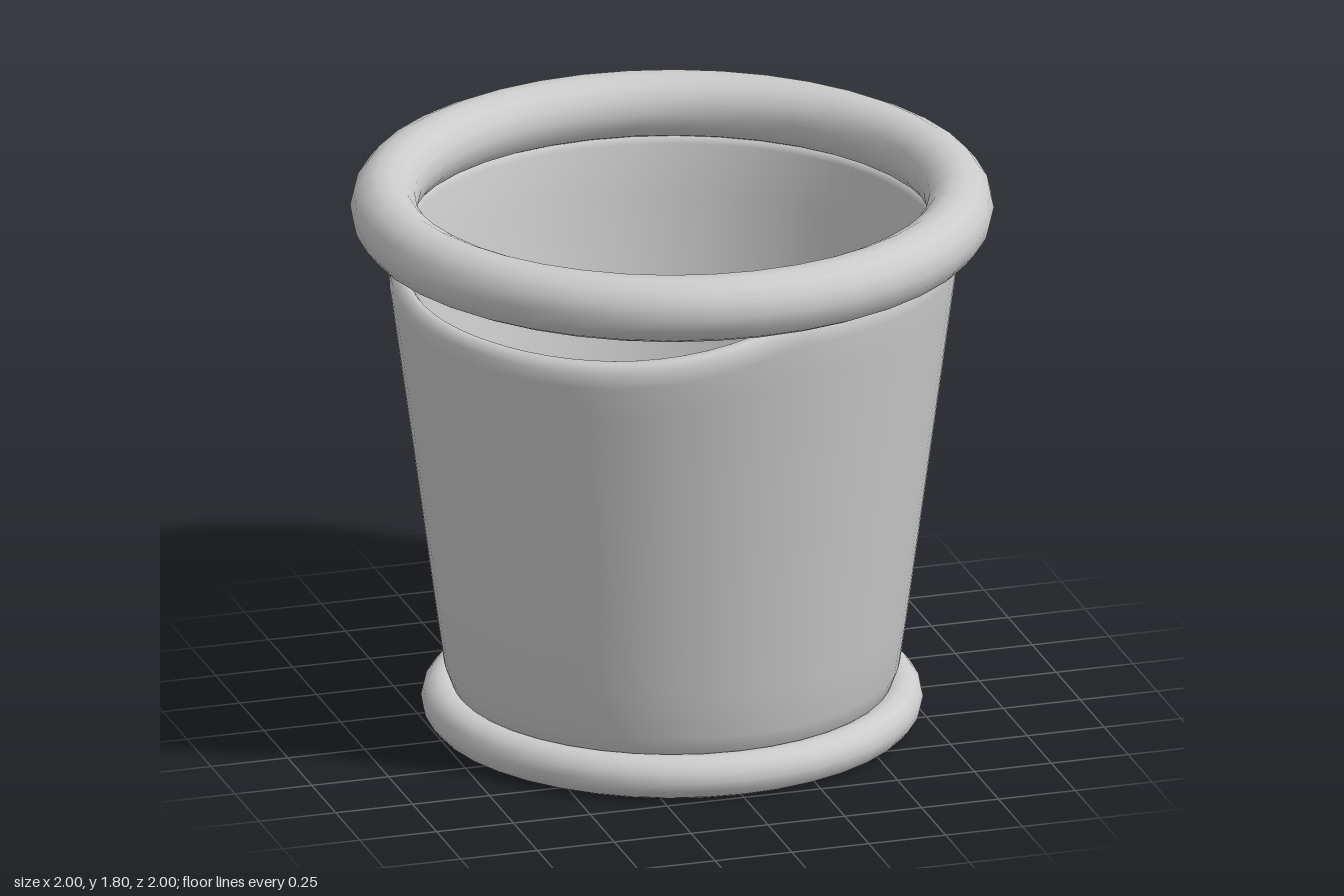
import * as THREE from 'three';

export function createModel() {
  const model = new THREE.Group();
  const clay = new THREE.MeshStandardMaterial({ color: 0xcccccc });
  clay.name = 'pale grey';

  const add = (geometry, name) => {
    const mesh = new THREE.Mesh(geometry, clay);
    mesh.name = name;
    model.add(mesh);
  };

  // Rings around the top and the foot
  const addRing = (name, outer, inner, bottom) => {
    const tube = (outer - inner) / 2;
    const ring = new THREE.TorusGeometry((outer + inner) / 2, tube, 14, 40);
    ring.rotateX(-Math.PI / 2).translate(0, bottom + tube, 0);
    add(ring, name);
  };
  addRing('rimRing', 1, 0.79, 1.59);
  addRing('footRing', 0.78, 0.642, 0);

  // Pot wall: underside, outside, rounded lip, inside, floor
  const profile = [
    [0, 0.04], [0.6, 0.04], [0.64, 0.06], [0.685, 0.13], [0.708, 0.19], [0.73, 0.34],
    [0.77, 0.64], [0.81, 0.94], [0.85, 1.24], [0.874, 1.42], [0.889, 1.53],
    [0.887, 1.575], [0.868, 1.602], [0.845, 1.607], [0.828, 1.585],
    [0.81, 1.42], [0.787, 1.24], [0.747, 0.94], [0.707, 0.64], [0.667, 0.34],
    [0.645, 0.2], [0.6, 0.135], [0.53, 0.115], [0, 0.11],
  ].map(([r, y]) => new THREE.Vector2(r, y));
  const wall = new THREE.LatheGeometry(profile, 72);

  // The lip sags away from the rim ring on the front left of the picture plane (-x, +z)
  const sagDirection = new THREE.Vector2(-0.866, 0.5);
  const halfWidth = 1.18;
  const p = wall.attributes.position;
  for (let i = 0; i < p.count; i++) {
    const flat = new THREE.Vector2(p.getX(i), p.getZ(i));
    const r = flat.length();
    if (r < 0.5) continue;
    const angle = Math.acos(THREE.MathUtils.clamp(flat.dot(sagDirection) / r, -1, 1));
    const sag = Math.max(0, 1 - (angle / halfWidth) ** 3);
    const weight = sag * THREE.MathUtils.smoothstep(p.getY(i), 1.0, 1.5);
    const k = 1 - 0.017 * weight;
    p.setXYZ(i, flat.x * k, p.getY(i) - 0.13 * weight, flat.y * k);
  }
  add(wall, 'potWall');

  return model;
}
